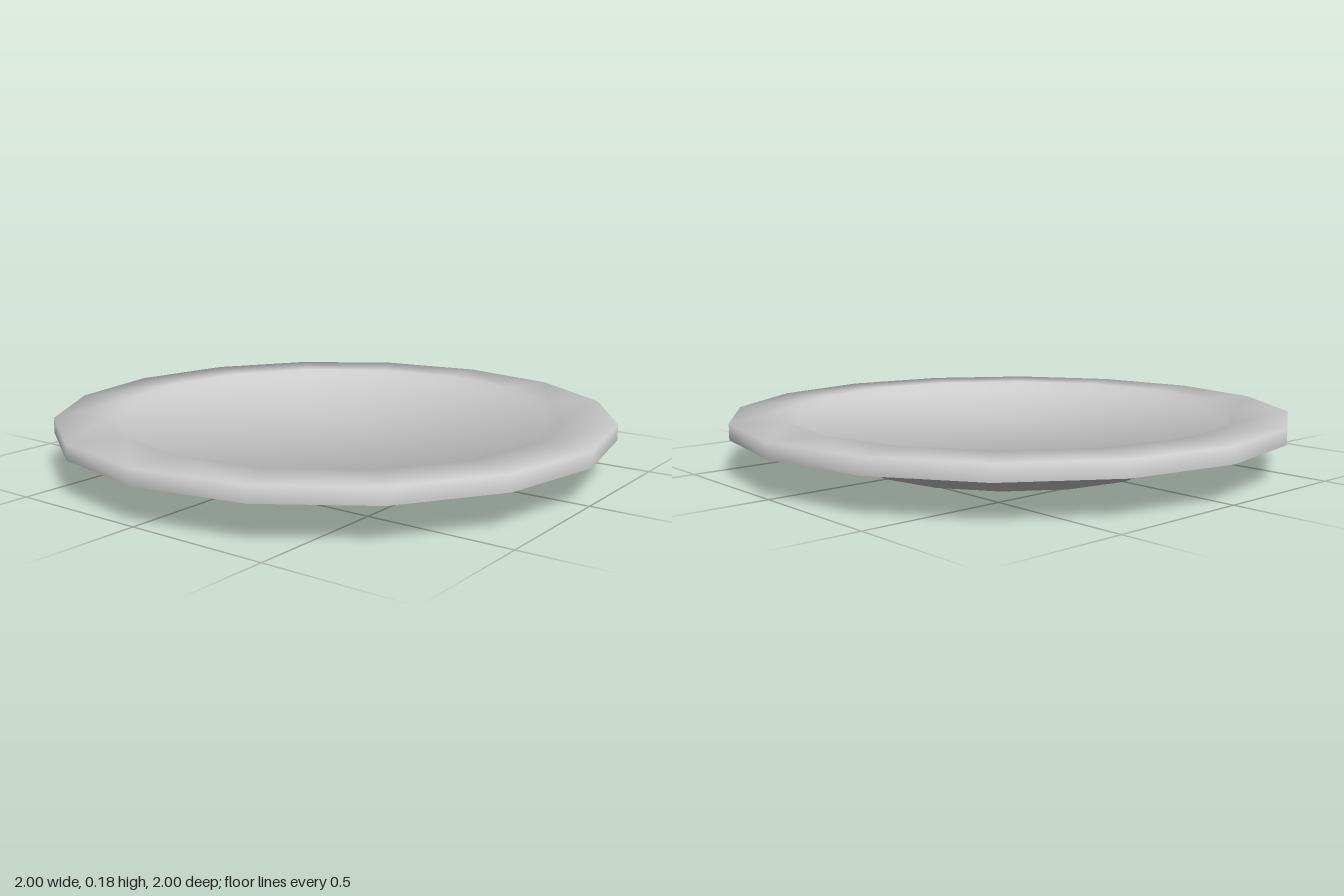
import * as THREE from 'three';

const SIDES = 16;

// Revolves a profile and gives every ring the even average of its two neighbouring slopes.
function turned(name, profile, material) {
  const pts = profile.map(([r, y]) => new THREE.Vector2(r, y));
  const geometry = new THREE.LatheGeometry(pts, SIDES);

  const slopes = pts.slice(1).map((p, i) =>
    new THREE.Vector2(p.y - pts[i].y, pts[i].x - p.x).normalize());
  const ring = pts.map((p, i) => {
    const n = new THREE.Vector2();
    if (i > 0) n.add(slopes[i - 1]);
    if (i < slopes.length) n.add(slopes[i]);
    return n.normalize();
  });

  const normal = geometry.attributes.normal;
  for (let k = 0; k < normal.count; k++) {
    const n = ring[k % pts.length];
    const a = Math.floor(k / pts.length) / SIDES * Math.PI * 2;
    normal.setXYZ(k, n.x * Math.sin(a), n.y, n.x * Math.cos(a));
  }

  const mesh = new THREE.Mesh(geometry, material);
  mesh.name = name;
  return mesh;
}

export function createModel() {
  const group = new THREE.Group();
  group.name = 'plate';
  const material = new THREE.MeshStandardMaterial({ color: 0xcccccc });

  // Rim edge, flat rim, shallow inner wall and floor
  group.add(turned('rimAndDish', [
    [1, 0.125], [1, 0.18], [0.81, 0.18], [0.79, 0.15], [0, 0.15],
  ], material));

  // Recessed base, foot ring and flared underside
  group.add(turned('undersideAndFoot', [
    [0, 0.03], [0.507, 0.03], [0.51, 0], [0.56, 0], [0.68, 0.07], [1, 0.125],
  ], material));

  return group;
}
